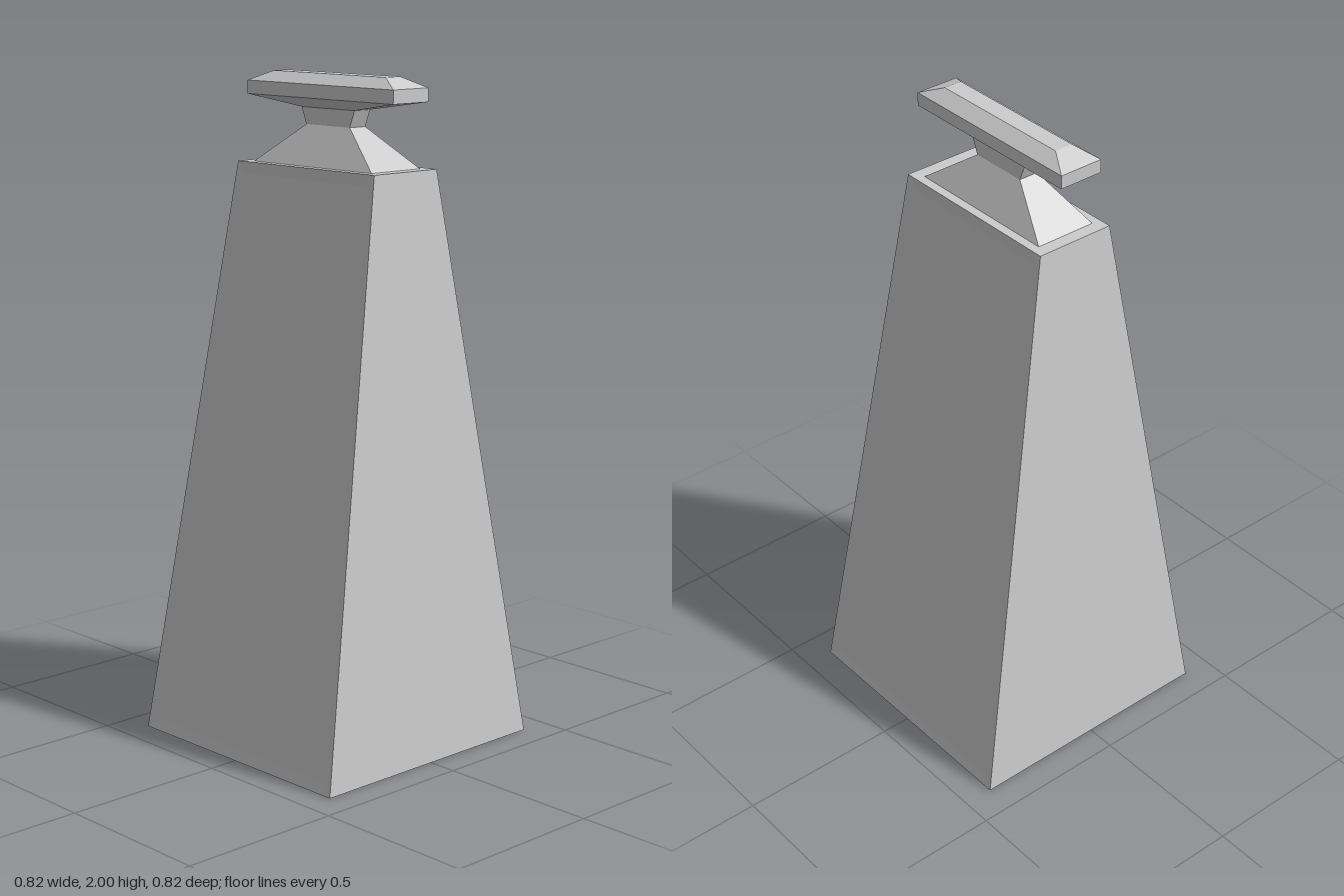
import * as THREE from 'three';

const material = new THREE.MeshStandardMaterial({ color: 0xcccccc, flatShading: true });

// Four corners of a level rectangle, counter-clockwise seen from above
const ring = ([hx, hz, y]) => [[-hx, hz], [hx, hz], [hx, -hz], [-hx, -hz]]
  .map(([x, z]) => new THREE.Vector3(x, y, z));

// Mesh made of four-cornered faces
function quadMesh(name, quads) {
  const points = quads.flatMap(([a, b, c, d]) => [a, b, c, a, c, d]);
  const geometry = new THREE.BufferGeometry().setFromPoints(points);
  geometry.computeVertexNormals();
  const mesh = new THREE.Mesh(geometry, material);
  mesh.name = name;
  return mesh;
}

// Side faces between two rings
const band = (a, b) => a.map((p, i) => {
  const j = (i + 1) % 4;
  return [p, a[j], b[j], b[i]];
});

// Side faces through a list of [halfWidth, halfDepth, height]
function loft(sections) {
  const rings = sections.map(ring);
  return rings.slice(1).flatMap((r, i) => band(rings[i], r));
}

// A face with a narrow border around a very shallow recessed panel
function panelled(face, border, depth) {
  const [a, b, c, d] = face;
  const normal = b.clone().sub(a).cross(d.clone().sub(a)).normalize();
  const side = (p, sx, sy) => {
    const up = (p === a || p === d) ? d.clone().sub(a) : c.clone().sub(b);
    return p.clone().add(new THREE.Vector3(sx * border, 0, 0))
      .addScaledVector(up.normalize(), sy * border).addScaledVector(normal, -depth);
  };
  const s = Math.sign(b.x - a.x);
  const inner = [side(a, s, 1), side(b, -s, 1), side(c, -s, -1), side(d, s, -1)];
  return [...band(face, inner), inner];
}

export function createModel() {
  const group = new THREE.Group();
  group.name = 'bell';

  // Tapered hollow body: outer walls, rim, cavity and flat top
  const bottom = [0.41, 0.41, 0], top = [0.29, 0.125, 1.735];
  const [front, right, back, left] = loft([bottom, top]);
  const cavityTop = [0.255, 0.09, 1.69];
  group.add(quadMesh('body', [
    ...panelled(front, 0.035, 0.004), right, ...panelled(back, 0.035, 0.004), left,
    ring(top),
  ]));
  group.add(quadMesh('cavity', [
    ...loft([cavityTop, [0.37, 0.37, 0], bottom]),
    ring(cavityTop).reverse(),
  ]));

  // Sloping shoulder narrowing to the neck, which flares under the handle
  group.add(quadMesh('shoulderAndNeck', loft([
    [0.25, 0.097, 1.735], [0.092, 0.031, 1.85], [0.112, 0.031, 1.9],
  ])));

  // Long bevelled handle bar
  const handleTop = [0.236, 0.029, 2];
  group.add(quadMesh('handle', [
    ...loft([[0.112, 0.031, 1.9], [0.308, 0.07, 1.93], [0.308, 0.07, 1.97], handleTop]),
    ring(handleTop),
  ]));

  return group;
}
